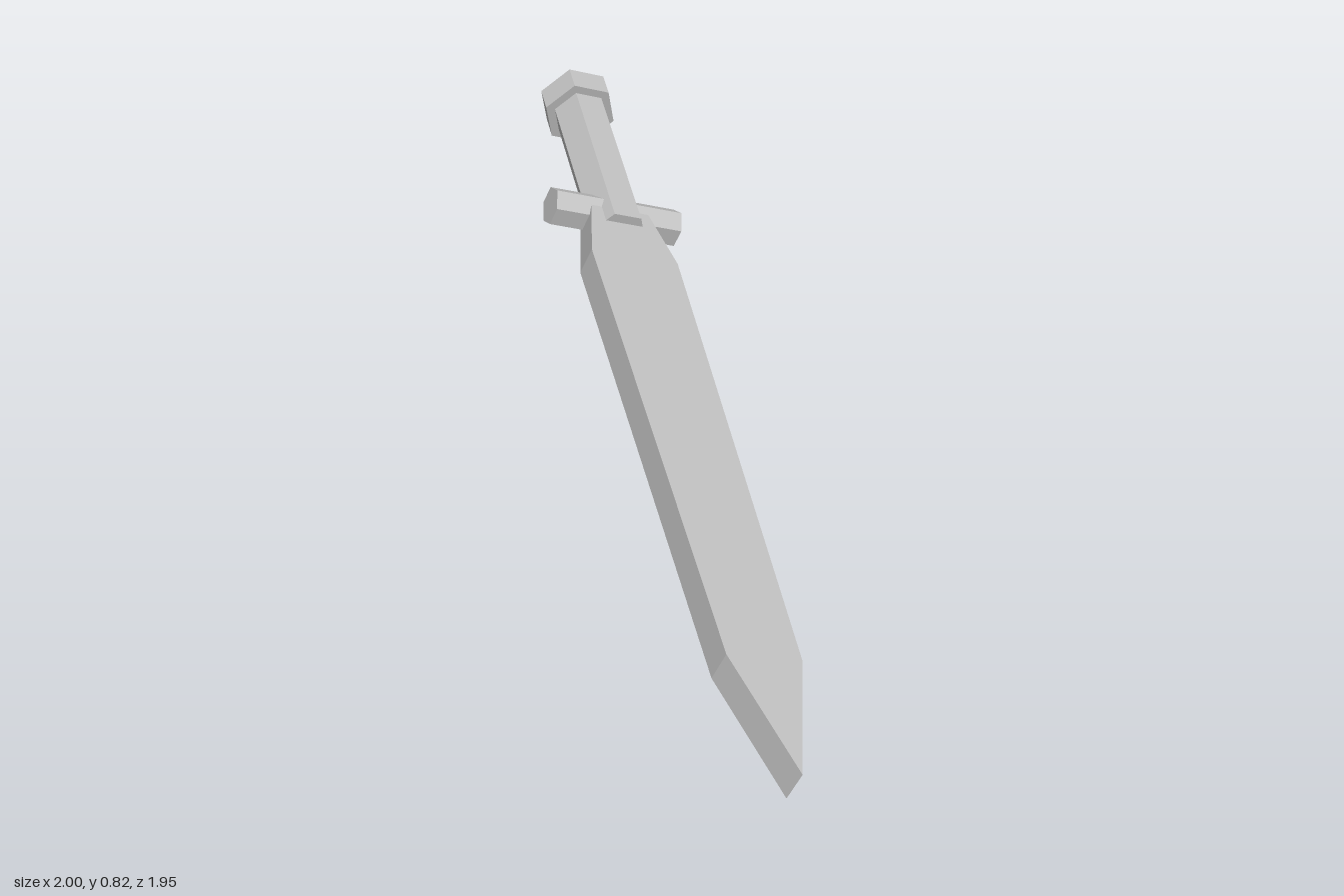
import * as THREE from 'three';

export function createModel() {
  const model = new THREE.Group();
  model.name = 'sword';
  const steel = new THREE.MeshStandardMaterial({ color: 0xc0c0c0 });
  steel.name = 'plain grey';

  // Local frame: x across the blade, y through its thickness, z towards the tip
  const sword = new THREE.Group();
  sword.name = 'tiltedSword';
  const along = new THREE.Vector3(0.6945, -0.2415, 0.677).normalize();
  const across = new THREE.Vector3(0.595, -0.33, -0.735);
  across.addScaledVector(along, -across.dot(along)).normalize();
  const normal = new THREE.Vector3().crossVectors(along, across);
  sword.quaternion.setFromRotationMatrix(new THREE.Matrix4().makeBasis(across, normal, along));
  sword.position.set(-0.51, 0.563, -0.483);
  model.add(sword);

  const add = (name, geometry) => {
    const flat = geometry.index ? geometry.toNonIndexed() : geometry;
    flat.computeVertexNormals();
    const mesh = new THREE.Mesh(flat, steel);
    mesh.name = name;
    sword.add(mesh);
  };

  // Six-sided bar, built along y
  const hexBar = (radius, length) =>
    new THREE.CylinderGeometry(radius, radius, length, 6).rotateY(Math.PI / 6);

  // Hexagonal bar lying along the sword between two stations
  const lengthwise = (radius, from, to) =>
    hexBar(radius, to - from).rotateX(Math.PI / 2).translate(0, 0, (from + to) / 2);

  // Blade: flat slab, flaring from the guard, then tapering to a point
  const half = [[0.09, 0], [0.141, 0.239], [0.109, 1.781]];
  const outline = [
    ...half,
    [0, 2.145],
    ...half.map(([x, y]) => [-x, y]).reverse(),
  ].map(([x, y]) => new THREE.Vector2(x, y));
  const thickness = 0.094;
  add('blade', new THREE.ExtrudeGeometry(new THREE.Shape(outline), { depth: thickness, bevelEnabled: false })
    .translate(0, 0, -thickness / 2)
    .rotateX(Math.PI / 2));

  // Cross guard, handle and pommel
  add('guard', hexBar(0.06, 0.415).rotateZ(Math.PI / 2));
  add('handle', lengthwise(0.088, -0.55, 0.087));
  add('pommel', lengthwise(0.118, -0.597, -0.511));

  return model;
}
